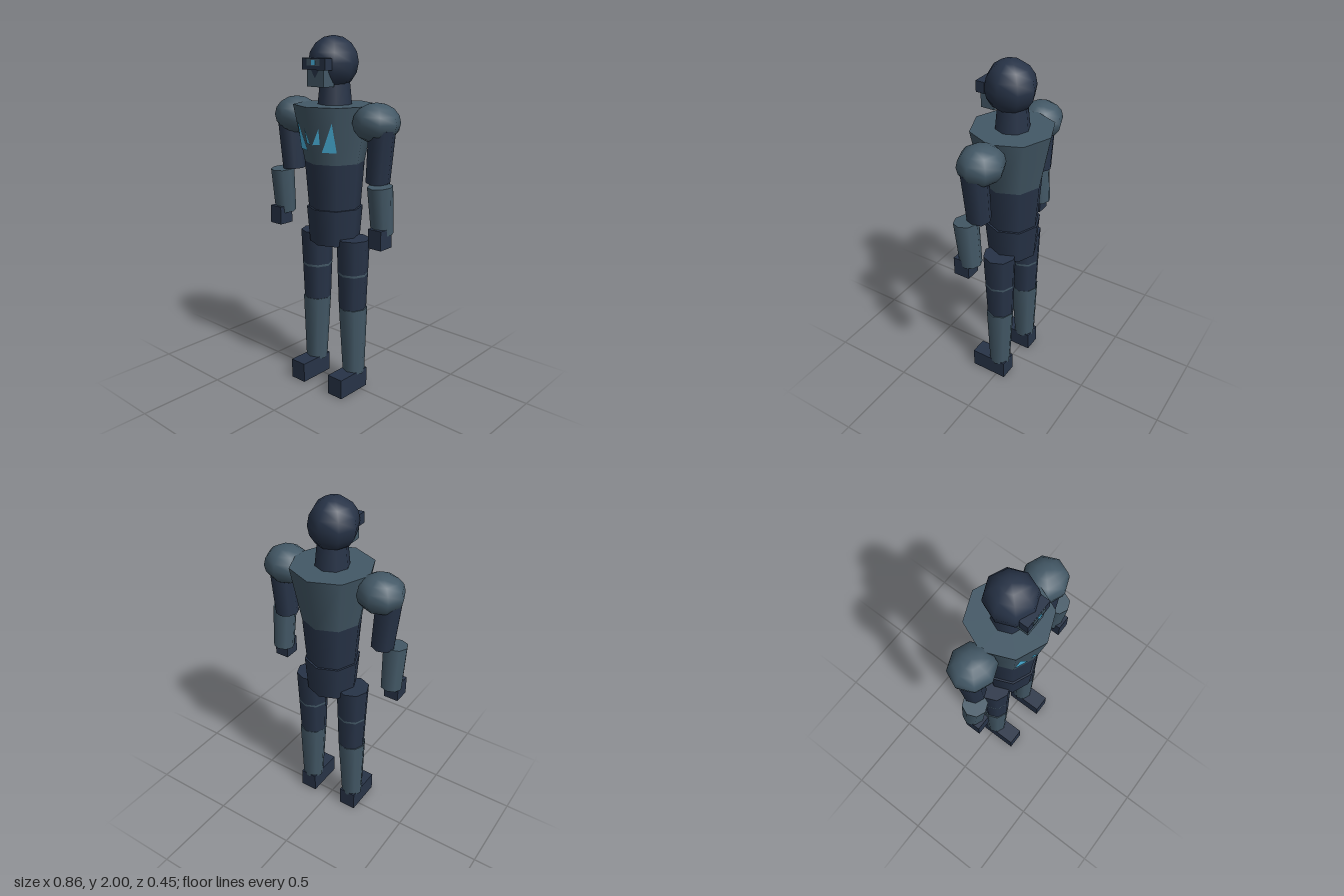
import * as THREE from 'three';

const navy = new THREE.MeshStandardMaterial({ color: 0x273347 });
navy.name = 'navy suit';
const slate = new THREE.MeshStandardMaterial({ color: 0x435866 });
slate.name = 'slate armour';
const blue = new THREE.MeshStandardMaterial({ color: 0x4fbdea });
blue.name = 'blue glow';

const UP = new THREE.Vector3(0, 1, 0);

export function createModel() {
  const model = new THREE.Group();
  model.name = 'armouredFigure';

  function add(name, geometry, material, position = [0, 0, 0]) {
    const mesh = new THREE.Mesh(geometry, material);
    mesh.name = name;
    mesh.position.set(...position);
    model.add(mesh);
    return mesh;
  }

  const box = (name, material, size, position) =>
    add(name, new THREE.BoxGeometry(...size), material, position);

  function ball(name, material, radii, position) {
    return add(name, new THREE.SphereGeometry(1, 8, 8).scale(...radii), material, position);
  }

  // Eight-sided tapered cylinder between two points
  function limb(name, material, top, bottom, rTop, rBottom) {
    const a = new THREE.Vector3(...top);
    const b = new THREE.Vector3(...bottom);
    const axis = a.clone().sub(b);
    const mesh = add(name, new THREE.CylinderGeometry(rTop, rBottom, axis.length(), 8), material);
    mesh.position.copy(a.add(b).multiplyScalar(0.5));
    mesh.quaternion.setFromUnitVectors(UP, axis.normalize());
    return mesh;
  }

  // Triangle facing the front, wound counter-clockwise
  function triangle(name, material, points, mirrored = false) {
    const order = mirrored ? [0, 2, 1] : [0, 1, 2];
    const g = new THREE.BufferGeometry();
    g.setAttribute('position', new THREE.Float32BufferAttribute(order.flatMap(i => points[i]), 3));
    g.computeVertexNormals();
    return add(name, g, material);
  }

  // Torso
  limb('chest', slate, [0, 1.64, 0], [0, 1.33, 0], 0.226, 0.165);
  limb('waist', navy, [0, 1.33, 0], [0, 1.07, 0], 0.165, 0.145);
  limb('pelvis', navy, [0, 1.075, 0], [0, 0.87, 0], 0.157, 0.14);
  limb('neck', navy, [0, 1.77, 0], [0, 1.62, 0], 0.08, 0.095);

  // Head with mask and visor
  ball('head', navy, [0.132, 0.14, 0.138], [0, 1.86, 0.011]);
  box('mask', slate, [0.12, 0.09, 0.08], [0, 1.783, 0.112]);
  triangle('maskNotch', navy, [[0, 1.783, 0.154], [0.03, 1.826, 0.154], [-0.03, 1.826, 0.154]]);
  box('visor', navy, [0.165, 0.06, 0.05], [0, 1.855, 0.14]);
  box('visorLens', slate, [0.09, 0.035, 0.004], [0, 1.864, 0.166]);
  box('visorLight', blue, [0.026, 0.026, 0.004], [0, 1.863, 0.168]);

  // Chest marks lie just above the two front facets of the chest
  const onChest = ([x, y]) => {
    const r = 0.165 + 0.061 * (y - 1.33) / 0.31;
    return [x, y, r - Math.tan(Math.PI / 8) * Math.abs(x) + 0.004];
  };
  const marks = {
    outerChestMark: [[0.053, 1.4], [0.13, 1.4], [0.125, 1.56]],
    innerChestMark: [[0.008, 1.438], [0.048, 1.443], [0.052, 1.527]],
  };

  for (const s of [1, -1]) {
    const side = s > 0 ? 'left' : 'right';

    for (const [name, corners] of Object.entries(marks)) {
      triangle(`${side} ${name}`, blue, corners.map(([x, y]) => onChest([s * x, y])), s < 0);
    }

    // Arms
    ball(`${side} shoulder`, slate, [0.13, 0.105, 0.124], [s * 0.29, 1.562, 0]);
    limb(`${side} upperArm`, navy, [s * 0.336, 1.535, 0.01], [s * 0.311, 1.25, 0.008], 0.072, 0.065);
    limb(`${side} forearm`, slate, [s * 0.363, 1.248, 0.054], [s * 0.365, 0.99, 0.031], 0.068, 0.06);
    box(`${side} hand`, navy, [0.085, 0.105, 0.093], [s * 0.373, 0.972, 0.061]);

    // Legs
    limb(`${side} thigh`, navy, [s * 0.138, 0.91, 0], [s * 0.136, 0.5, 0], 0.093, 0.078);
    ball(`${side} knee`, slate, [0.0868, 0.09, 0.0868], [s * 0.137, 0.708, 0]);
    limb(`${side} shin`, slate, [s * 0.14, 0.5, 0], [s * 0.147, 0.1, 0], 0.081, 0.063);
    box(`${side} foot`, navy, [0.102, 0.115, 0.223], [s * 0.147, 0.0575, 0.054]);
  }

  return model;
}
